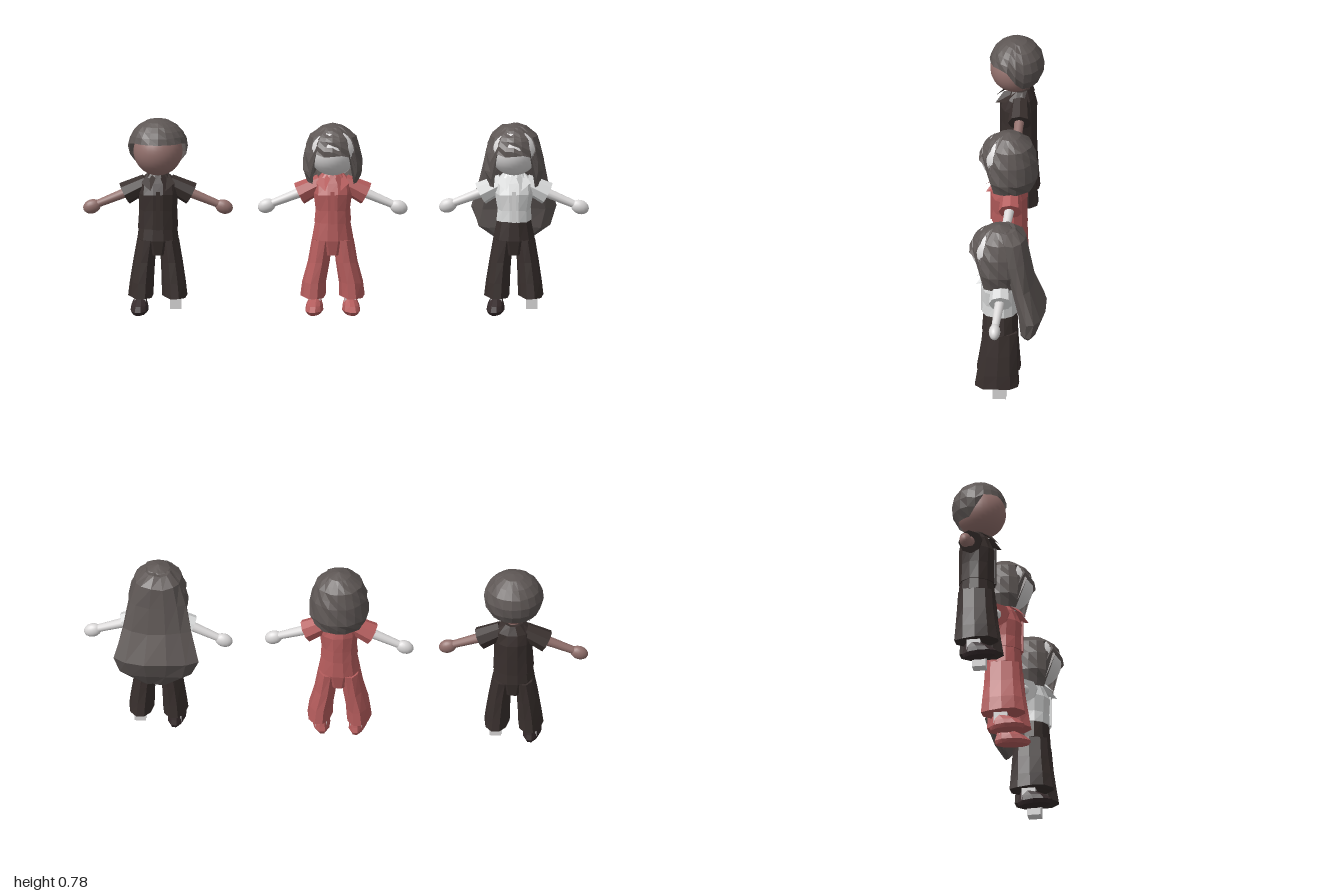
import * as THREE from 'three';

const mat = (name, color, side = THREE.DoubleSide) => {
  const m = new THREE.MeshStandardMaterial({ color, side });
  m.name = name;
  return m;
};
const hairMat = mat('hair charcoal', 0x5e5755);
const fairMat = mat('fair skin', 0xdad8d8);
const brownMat = mat('brown skin', 0x92706c);
const redMat = mat('red cloth', 0xb45c5c);
const blackMat = mat('dark cloth', 0x382f2d);
const whiteMat = mat('white cloth', 0xd9dada);
const shoeMat = mat('dark shoe', 0x352a2b);

function mesh(name, geo, material, parent) {
  const m = new THREE.Mesh(geo, material);
  m.name = name;
  parent.add(m);
  return m;
}

// Turns points and triangles into a faceted geometry
function faceted(points, index) {
  const g = new THREE.BufferGeometry();
  g.setAttribute('position', new THREE.Float32BufferAttribute(points.flat(), 3));
  g.setIndex(index);
  const flat = g.toNonIndexed();
  flat.computeVertexNormals();
  return flat;
}

// Closed body through oval rings, bottom to top: [y, centreX, centreZ, radiusX, radiusZ]
function loft(rings, n = 10, jitter = 0) {
  const pts = [], idx = [];
  rings.forEach(([y, cx, cz, rx, rz], i) => {
    for (let j = 0; j < n; j++) {
      const a = ((j + 0.5) / n) * Math.PI * 2;
      const k = 1 + jitter * Math.sin(i * 5.3 + j * 2.9);
      pts.push([cx + Math.sin(a) * rx * k, y + jitter * 0.12 * Math.sin(j * 4.1 + i), cz + Math.cos(a) * rz * k]);
    }
  });
  for (let i = 0; i < rings.length - 1; i++) {
    for (let j = 0; j < n; j++) {
      const a = i * n + j, b = i * n + (j + 1) % n;
      idx.push(a, b, b + n, a, b + n, a + n);
    }
  }
  const top = (rings.length - 1) * n;
  for (let j = 1; j < n - 1; j++) idx.push(0, j + 1, j, top, top + j, top + j + 1);
  return faceted(pts, idx);
}

// Open hair shell: f(angle from the front, 0 at crown to 1 at the edge) gives a point
function hairShell(cols, rows, f, jitter) {
  const pts = [], idx = [];
  for (let i = 0; i <= rows; i++) {
    for (let j = 0; j < cols; j++) {
      let a = (j / cols) * Math.PI * 2;
      if (a > Math.PI) a -= Math.PI * 2;
      const [x, y, z] = f(a, i / rows);
      const k = 1 + jitter * Math.sin(i * 3.7 + j * 2.6);
      pts.push([x * k, y, 0.03 + (z - 0.03) * k]);
    }
  }
  for (let i = 0; i < rows; i++) {
    for (let j = 0; j < cols; j++) {
      const a = i * cols + j, b = i * cols + (j + 1) % cols;
      idx.push(a, a + cols, b + cols, a, b + cols, b);
    }
  }
  return faceted(pts, idx);
}

// Tapered limb between two points
function limb(name, from, to, r1, r2, sides, material, parent, flat) {
  const a = new THREE.Vector3(...from), b = new THREE.Vector3(...to);
  let g = new THREE.CylinderGeometry(r2, r1, a.distanceTo(b), sides);
  if (flat) { g = g.toNonIndexed(); g.computeVertexNormals(); }
  const m = mesh(name, g, material, parent);
  m.position.copy(a).add(b).multiplyScalar(0.5);
  m.quaternion.setFromUnitVectors(new THREE.Vector3(0, 1, 0), b.sub(a).normalize());
  return m;
}

// Cropped cap: high over the face, lower at the nape
function shortHair() {
  return hairShell(20, 6, (a, t) => {
    const side = THREE.MathUtils.smoothstep(Math.abs(a), 1.15, 1.9);
    const phi = t * (1.38 + 0.85 * side);
    const r = Math.sin(phi);
    return [Math.sin(a) * r * 0.118, 0.675 + 0.11 * Math.cos(phi), 0.038 + Math.cos(a) * r * 0.11];
  }, 0.015);
}

// Bob with a fringe over the brow and locks beside the face
function bobHair(bottom) {
  const profile = [[0.766, 0], [0.752, 0.045], [0.715, 0.092], [0.655, 0.112], [0.58, 0.119], [bottom, 0.1]];
  return hairShell(20, 10, (a, t) => {
    const fringe = Math.abs(a) < 0.8;
    const s = t * (fringe ? 3.05 : 5);
    const i = Math.min(4, Math.floor(s)), k = s - i;
    const y = THREE.MathUtils.lerp(profile[i][0], profile[i + 1][0], k);
    const r = THREE.MathUtils.lerp(profile[i][1], profile[i + 1][1], k);
    const front = fringe ? 1.08 : 0.98;
    return [Math.sin(a) * r, y + (fringe && t === 1 ? 0.012 * Math.sin(a * 9) : 0), 0.03 + Math.cos(a) * r * front];
  }, 0.03);
}

// Long hair falling down the back and flaring out before its tip
const longHair = () => loft([
  [0.265, 0, -0.08, 0.05, 0.012], [0.325, 0, -0.088, 0.145, 0.04], [0.4, 0, -0.098, 0.172, 0.058],
  [0.52, 0, -0.058, 0.138, 0.05], [0.63, 0, -0.028, 0.115, 0.06], [0.715, 0, -0.012, 0.09, 0.064],
  [0.75, 0, 0.01, 0.05, 0.045],
], 12, 0.03);

function person(name, o) {
  const p = new THREE.Group();
  p.name = name;
  p.position.x = o.x;

  // Head and neck
  const head = mesh('head', new THREE.SphereGeometry(0.097, 28, 20), o.skin, p);
  head.position.set(0, 0.655, 0.046);
  limb('neck', [0, 0.52, 0.025], [0, 0.6, 0.03], 0.03, 0.03, 10, o.skin, p);

  // Shirt with collar flaps and a front placket
  const w = o.waist;
  mesh('shirt', loft([
    [o.hem, 0, 0.028, w + 0.004, 0.073], [0.42, 0, 0.028, w, 0.072], [0.485, 0, 0.03, 0.08, 0.074],
    [0.53, 0, 0.025, 0.076, 0.058], [0.565, 0, 0.024, 0.04, 0.04],
  ], 12, 0.02), o.shirt, p);
  const placket = mesh('placket', new THREE.BoxGeometry(0.016, 0.5 - o.hem, 0.008), o.shirt, p);
  placket.position.set(0, (0.5 + o.hem) / 2, 0.1);

  // Trousers seat
  mesh('trouserSeat', loft([
    [0.24, 0, 0.028, 0.05, 0.062], [0.3, 0, 0.028, 0.084, 0.073], [o.hem + 0.006, 0, 0.027, w, 0.068],
  ], 12), o.trousers, p);

  for (const s of [-1, 1]) {
    const side = s > 0 ? 'left' : 'right';
    const handZ = s > 0 ? o.leftZ : o.rightZ;
    // Arms
    limb(side + 'Sleeve', [s * 0.045, 0.522, 0.022], [s * 0.132, 0.478, 0.02], 0.036, 0.046, 8, o.shirt, p, true);
    limb(side + 'Arm', [s * 0.1, 0.493, 0.02], [s * 0.25, 0.432, handZ], 0.021, 0.015, 12, o.skin, p);
    const hand = mesh(side + 'Hand', new THREE.SphereGeometry(1, 16, 12), o.skin, p);
    hand.scale.set(0.036, 0.028, 0.023);
    hand.position.set(s * 0.261, 0.426, handZ);
    hand.rotation.z = -s * 0.35;
    // Collar flap
    mesh(side + 'Collar', faceted([
      [s * 0.036, 0.57, 0.03], [s * 0.01, 0.552, 0.088], [s * 0.03, 0.508, 0.122], [s * 0.066, 0.532, 0.078],
    ], s > 0 ? [0, 1, 2, 0, 2, 3] : [0, 2, 1, 0, 3, 2]), o.shirt, p);
    // Flared trouser leg
    mesh(side + 'TrouserLeg', loft([
      [0.072, s * o.flare, 0.037, 0.05, 0.09], [0.13, s * o.flare * 0.94, 0.035, 0.048, 0.084],
      [0.21, s * 0.055, 0.031, 0.044, 0.077], [0.3, s * 0.042, 0.028, 0.041, 0.072],
    ], 10, 0.025), o.trousers, p);
    // Ankle block, left bare where a shoe is missing
    const ankle = mesh(side + 'Ankle', new THREE.BoxGeometry(0.045, 0.07, 0.054), fairMat, p);
    ankle.position.set(s * 0.07, 0.053, 0.027);
    if (s < 0 || o.bothShoes) {
      const shoe = mesh(side + 'Shoe', loft([
        [0.002, 0, 0.02, 0.026, 0.066], [0.016, 0, 0.022, 0.036, 0.075],
        [0.036, 0, 0.014, 0.033, 0.06], [0.06, 0, -0.005, 0.023, 0.034],
      ], 10), o.shoe, p);
      shoe.position.set(s * 0.07, 0, 0.029);
      shoe.rotation.y = s * 0.12;
    }
  }

  // Hair
  mesh('hair', o.hair(), hairMat, p);
  if (o.long) mesh('longHair', longHair(), hairMat, p);
  return p;
}

export function createModel() {
  const g = new THREE.Group();
  g.name = 'threePeople';
  g.add(
    person('shortHairedPerson', {
      x: -0.705, skin: brownMat, shirt: blackMat, trousers: blackMat, shoe: shoeMat, hair: shortHair,
      hem: 0.345, waist: 0.077, flare: 0.067, rightZ: 0.022, leftZ: 0.028,
    }),
    person('bobHairedPerson', {
      x: -0.014, skin: fairMat, shirt: redMat, trousers: redMat, shoe: redMat, hair: () => bobHair(0.53),
      hem: 0.37, waist: 0.07, flare: 0.077, rightZ: 0.01, leftZ: 0.038, bothShoes: true,
    }),
    person('longHairedPerson', {
      x: 0.703, skin: fairMat, shirt: whiteMat, trousers: blackMat, shoe: shoeMat, hair: () => bobHair(0.515),
      hem: 0.375, waist: 0.067, flare: 0.067, rightZ: 0.005, leftZ: 0.036, long: true,
    }),
  );
  return g;
}
